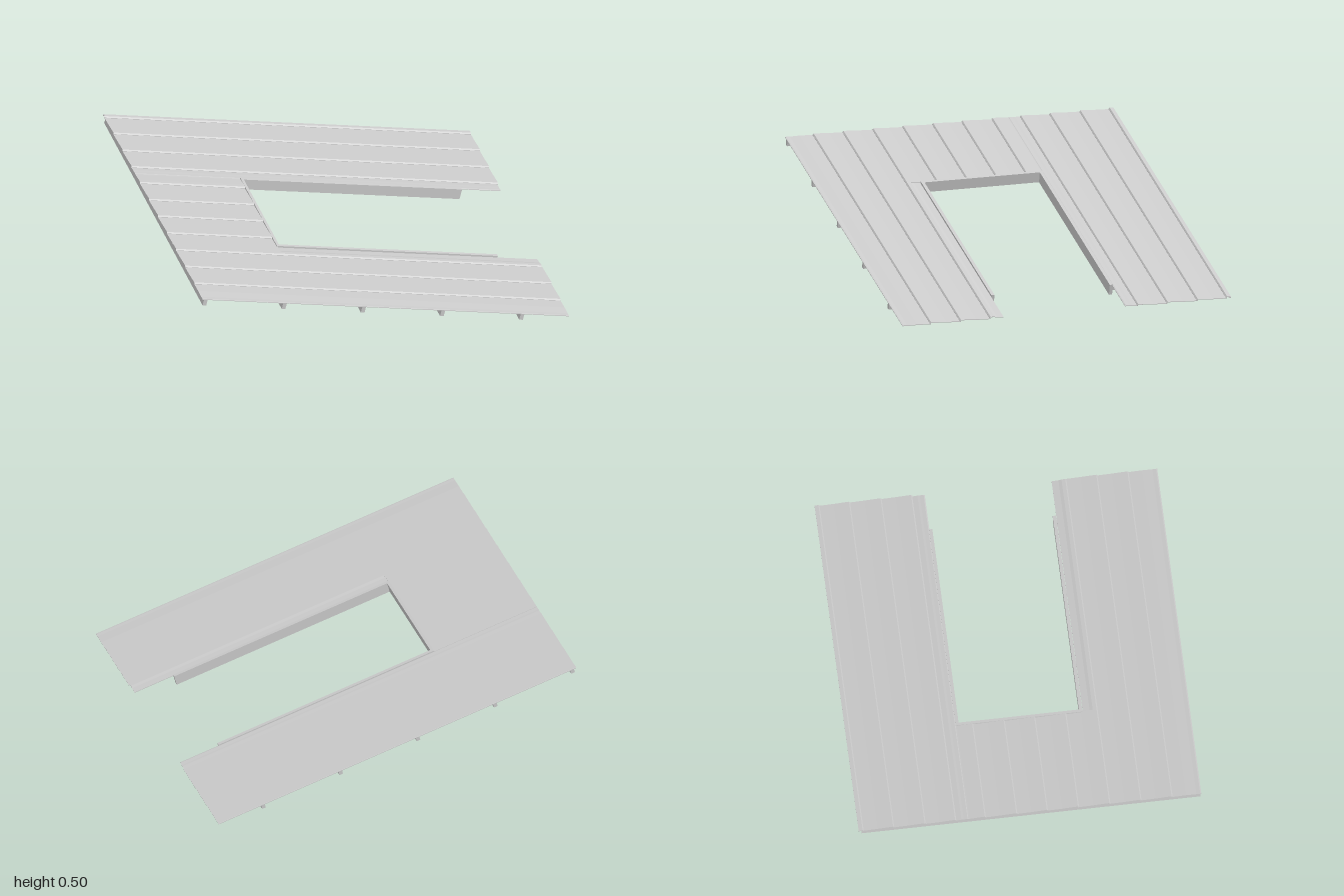
import * as THREE from 'three';

const material = new THREE.MeshStandardMaterial({ color: 0xcccccc, side: THREE.DoubleSide });
const pitch = Math.atan(0.246);
const along = (x) => x / Math.cos(pitch); // plan x to distance along the slope

export function createModel() {
  const group = new THREE.Group();
  group.name = 'pitchedRoof';
  const roof = new THREE.Group();
  roof.name = 'roofSlope';
  roof.rotation.z = -pitch;
  roof.position.y = 0.252;
  group.add(roof);

  function add(geometry, name) {
    const mesh = new THREE.Mesh(geometry, material);
    mesh.name = name;
    roof.add(mesh);
  }

  function box(name, x0, x1, y0, y1, z0, z1) {
    const g = new THREE.BoxGeometry(along(x1) - along(x0), y1 - y0, z1 - z0);
    g.translate((along(x0) + along(x1)) / 2, (y0 + y1) / 2, (z0 + z1) / 2);
    add(g, name);
  }

  // Thin sheet: raised at its +z edge, where a small lip laps the next one
  function sheet(zLow, zHigh, x1, lift = 0.007) {
    const top = [[zHigh + 0.006, 0.001], [zHigh, lift], [zHigh - 0.02, lift - 0.001],
      [(zLow + zHigh) / 2, 0.002], [zLow, -0.001]];
    const t = 0.003;
    const outline = [...top, ...top.map(([z, y]) => [z, y - t]).reverse()];
    const shape = new THREE.Shape(outline.map(([z, y]) => new THREE.Vector2(-z, y)));
    const g = new THREE.ExtrudeGeometry(shape, { depth: along(x1) - along(-0.995), bevelEnabled: false });
    g.rotateY(Math.PI / 2);
    g.translate(along(-0.995), 0, 0);
    add(g, 'roofSheet');
  }

  // Full-length sheets on both arms, short ones behind the opening
  const seams = [-0.88, -0.72, -0.555, -0.395, -0.24, -0.075, 0.085, 0.248, 0.412, 0.575, 0.738, 0.888];
  for (let i = 0; i < seams.length - 1; i++) {
    const short = seams[i] > -0.4 && seams[i + 1] < 0.42;
    sheet(seams[i], seams[i + 1], short ? -0.42 : 0.995, i === seams.length - 2 ? 0.002 : 0.007);
  }

  // Partial sheets along the sides of the opening, and the outer edge flange
  sheet(-0.395, -0.33, 0.99, 0.003);
  sheet(0.34, 0.412, 0.99);
  sheet(-0.9, -0.88, 0.995, 0.007);

  // Boards lining the opening
  box('openingBoard', -0.425, 0.775, -0.052, 0.007, -0.326, -0.309);
  box('openingBoard', -0.425, 0.775, -0.052, 0.007, 0.321, 0.338);
  box('openingBoard', -0.425, -0.41, -0.052, 0.007, -0.309, 0.321);

  // Battens below the sheets, split where the opening interrupts them
  [-0.975, -0.545, -0.115, 0.315, 0.745].forEach((x, i) => {
    const spans = i < 2 ? [[-0.885, 0.89]] : [[-0.885, -0.326], [0.338, 0.89]];
    for (const [z0, z1] of spans) box('batten', x - 0.01, x + 0.01, -0.038, -0.003, z0, z1);
  });

  return group;
}
